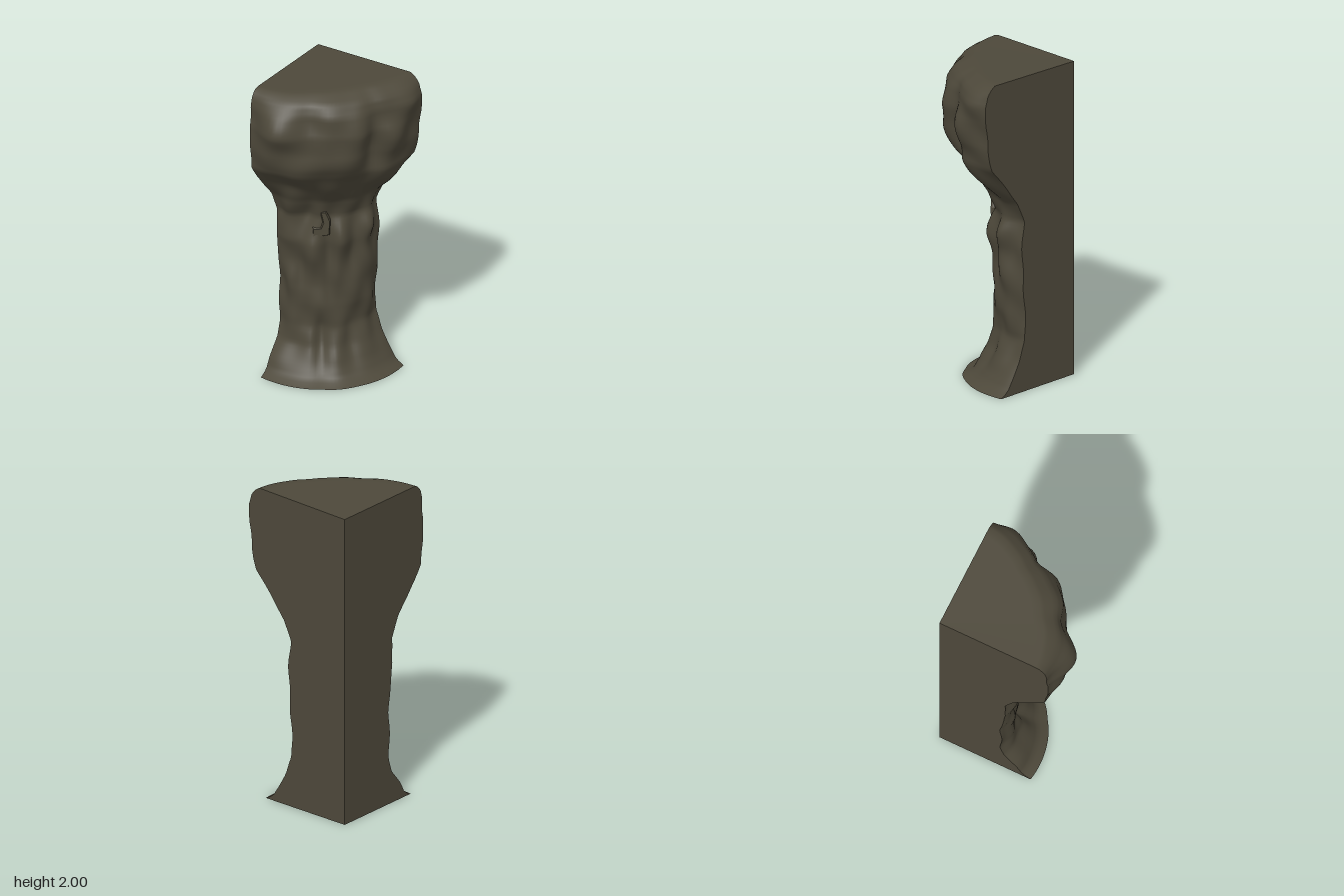
import * as THREE from 'three';

const CX = -0.387, CZ = -0.403; // vertical corner line where the two cut faces meet
const COLS = 44, STEPS = 96, TOP = 1.98;

// height, then radius along +x, along the diagonal, along +z
const PROFILE = [
  [0, .615, .66, .605], [.03, .56, .6, .55], [.1, .515, .55, .515], [.2, .46, .5, .435],
  [.32, .41, .47, .41], [.47, .42, .485, .405], [.6, .425, .48, .40],
  [.75, .43, .485, .415], [.9, .43, .495, .45], [1.07, .425, .47, .43],
  [1.2, .475, .52, .495], [1.34, .585, .63, .605], [1.46, .68, .715, .72], [1.6, .72, .76, .755],
  [1.75, .74, .775, .775], [1.88, .745, .75, .745], [1.95, .73, .705, .715], [TOP, .7, .635, .68],
];

// bulges and hollows: angle in degrees, height, push, angular width, height width
const BUMPS = [
  [8, 1.87, .018, 7, .08], [29, 1.68, -.05, 5, .25], [40, 1.72, .02, 9, .14], [19, 1.7, .025, 7, .1],
  [59, 1.74, -.03, 6, .2], [74, 1.77, .045, 9, .12], [57, 1.54, .03, 16, .07], [90, 1.75, -.05, 7, .25],
  [70, 1.33, -.025, 9, .07], [15, 1.37, .04, 11, .14], [78, 1.12, .03, 6, .09], [62, 1.1, -.025, 5, .08],
  [40, .95, .025, 6, .12], [48, .75, -.03, 4, .25], [58, .85, .025, 6, .14], [68, .7, -.025, 4, .16],
  [78, .6, .03, 5, .12], [29, .8, -.025, 5, .12], [18, .97, .05, 8, .09], [16, .7, .03, 7, .14],
  [54, .25, -.04, 4, .16], [44, .2, .02, 6, .16], [33, .25, -.02, 5, .14],
];

function radiusAt(deg, y) {
  let i = 0;
  while (i < PROFILE.length - 2 && PROFILE[i + 1][0] < y) i++;
  const p = PROFILE[i], q = PROFILE[i + 1];
  const t = THREE.MathUtils.clamp((y - p[0]) / (q[0] - p[0]), 0, 1);
  const [r0, r45, r90] = [1, 2, 3].map(k => p[k] + (q[k] - p[k]) * t);
  const s = Math.sin(THREE.MathUtils.degToRad(deg * 2));
  let r = THREE.MathUtils.lerp(r0, r90, deg / 90);
  r += (r45 - (r0 + r90) / 2) * s;
  for (const [a, h, push, wa, wh] of BUMPS) {
    r += push * Math.exp(-(((deg - a) / wa) ** 2) - ((y - h) / wh) ** 2);
  }
  // fine roughness, fading out at foot and crown
  const fade = Math.min(1, y / .3, (2.05 - y) / .2);
  return r + .006 * fade * (Math.sin(deg * .31 + y * 9) + Math.sin(deg * .17 - y * 21 + 2));
}

// rock skin from the foot to the crown, closed by a gently tilted top
function rockSkin() {
  const pos = [], idx = [];
  const rings = [];
  for (let j = 0; j <= STEPS; j++) rings.push([TOP * j / STEPS, 1]);
  for (const f of [.96, .88, .7, .5, .3, .12, 0]) rings.push([TOP, f]);
  for (const [y, f] of rings) {
    for (let i = 0; i <= COLS; i++) {
      const deg = 90 * i / COLS, a = THREE.MathUtils.degToRad(deg);
      const r = radiusAt(deg, y) * f;
      const lift = f < 1 ? .005 + .0155 * f * Math.cos(a) ** 2 : 0;
      pos.push(CX + r * Math.cos(a), y + lift, CZ + r * Math.sin(a));
    }
  }
  const w = COLS + 1;
  for (let j = 0; j < rings.length - 1; j++) {
    for (let i = 0; i < COLS; i++) {
      const a = j * w + i, b = a + w;
      idx.push(a, b, a + 1, a + 1, b, b + 1);
    }
  }
  const g = new THREE.BufferGeometry();
  g.setAttribute('position', new THREE.Float32BufferAttribute(pos, 3));
  g.setIndex(idx);
  g.computeVertexNormals();
  return g;
}

// flat cut face following the skin's edge at the given angle
function cutFace(deg, rimLift) {
  const s = new THREE.Shape();
  s.moveTo(0, 0);
  for (let j = 0; j <= STEPS; j++) {
    const y = TOP * j / STEPS;
    s.lineTo(radiusAt(deg, y), y);
  }
  s.lineTo(radiusAt(deg, TOP) * .96, TOP + rimLift);
  s.lineTo(0, TOP + .005);
  return new THREE.ShapeGeometry(s);
}

// small bent flake of stone caught at the neck
function flake() {
  const s = new THREE.Shape([
    [-.05, -.1], [-.03, -.07], [.04, -.06], [.045, .03], [.02, .09], [-.005, .09],
    [.01, .02], [-.005, -.02], [-.05, -.02],
  ].map(([x, y]) => new THREE.Vector2(x, y)));
  return new THREE.ExtrudeGeometry(s, {
    depth: .05, bevelEnabled: true, bevelSize: .006, bevelThickness: .01, bevelSegments: 1,
  });
}

export function createModel() {
  const group = new THREE.Group();
  group.name = 'rockColumn';
  const stone = new THREE.MeshStandardMaterial({ color: 0x4d483a, side: THREE.DoubleSide });
  stone.name = 'dark stone';
  const add = (name, geometry) => {
    const m = new THREE.Mesh(geometry, stone);
    m.name = name;
    group.add(m);
    return m;
  };

  add('rockSkin', rockSkin());

  // the back face is turned so that its front looks to -z
  const back = cutFace(0, .02);
  back.scale(-1, 1, 1);
  const bi = back.index.array;
  for (let i = 0; i < bi.length; i += 3) [bi[i], bi[i + 1]] = [bi[i + 1], bi[i]];
  back.rotateY(Math.PI);
  add('backCutFace', back).position.set(CX, 0, CZ);

  const side = cutFace(90, .005);
  side.rotateY(-Math.PI / 2);
  add('sideCutFace', side).position.set(CX, 0, CZ);

  const chip = add('neckFlake', flake());
  const a = THREE.MathUtils.degToRad(53);
  chip.position.set(CX + .435 * Math.cos(a), 1.02, CZ + .435 * Math.sin(a));
  chip.rotation.y = Math.PI / 2 - a;
  return group;
}
